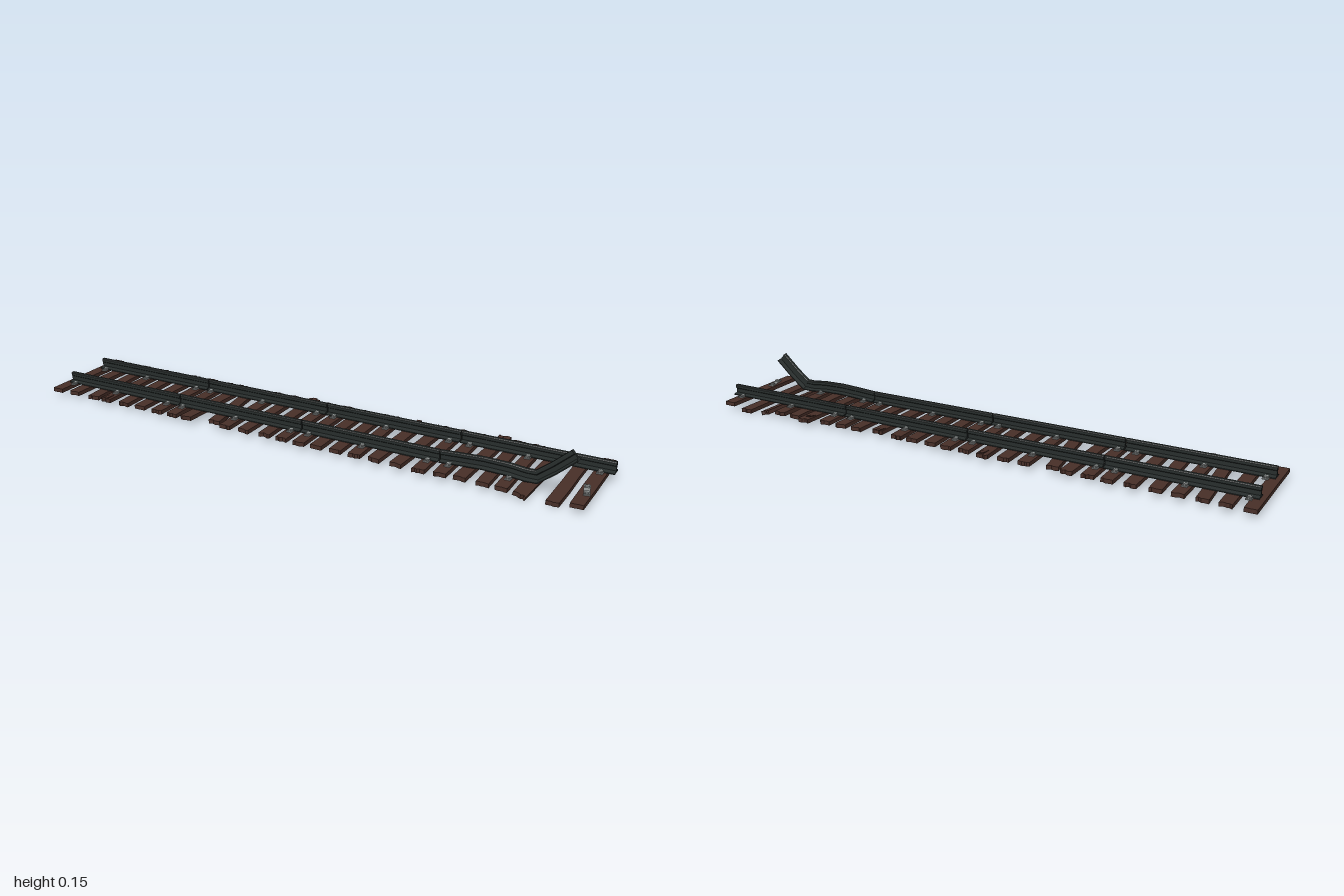
import * as THREE from 'three';

const steel = new THREE.MeshStandardMaterial({ color: 0x262c2b, flatShading: true, side: THREE.DoubleSide });
const wood = new THREE.MeshStandardMaterial({ color: 0x482f28, flatShading: true });
const iron = new THREE.MeshStandardMaterial({ color: 0x8c908f, flatShading: true });

let seed = 7;
const rnd = () => (seed = (seed * 16807) % 2147483647) / 2147483647;
const jitter = (a) => (rnd() * 2 - 1) * a;

// Half of the rail section as [z, height above foot], mirrored below
const HALF = [[0.02, 0], [0.02, 0.003], [0.004, 0.007], [0.0035, 0.021], [0.0072, 0.024], [0.0072, 0.033], [0.005, 0.036]];
const SECTION = [...HALF, ...HALF.slice().reverse().map(([z, h]) => [-z, h])];

// Sweep the rail section along a path of [x, y] foot points, mitred at bends
function railGeometry(path) {
  const pos = [], idx = [], n = SECTION.length;
  const dir = (a, b) => new THREE.Vector2(b[0] - a[0], b[1] - a[1]).normalize();
  path.forEach((p, i) => {
    const d0 = dir(path[Math.max(i - 1, 0)], path[Math.max(i, 1)]);
    const d1 = i < path.length - 1 ? dir(p, path[i + 1]) : d0;
    const t = d0.clone().add(d1).normalize();
    const k = 1 / t.dot(d1);
    for (const [z, h] of SECTION) pos.push(p[0] - t.y * h * k, p[1] + t.x * h * k, z);
  });
  for (let i = 0; i < path.length - 1; i++)
    for (let j = 0; j < n; j++) {
      const a = i * n + j, b = i * n + (j + 1) % n;
      idx.push(a, a + n, b, b, a + n, b + n);
    }
  // End caps: strips between mirrored points
  const last = (path.length - 1) * n;
  for (let j = 0; j < n / 2 - 1; j++) {
    const a = j, b = j + 1, c = n - 2 - j, d = n - 1 - j;
    idx.push(a, b, c, a, c, d, last + a, last + c, last + b, last + a, last + d, last + c);
  }
  const g = new THREE.BufferGeometry();
  g.setAttribute('position', new THREE.Float32BufferAttribute(pos, 3));
  g.setIndex(idx);
  g.computeVertexNormals();
  return g;
}

// Weathered plank with splintered ends, lying along z
function tieGeometry(width, z0, z1, thick, wear) {
  const shape = new THREE.Shape();
  const steps = 5, pts = [];
  for (let i = 0; i <= steps; i++) pts.push([-width / 2 + width * i / steps, z0 + rnd() * wear]);
  pts.push([width / 2 + jitter(0.0015), 0.05], [width / 2 + jitter(0.0015), -0.0]);
  pts.splice(-2, 2, [width / 2 + jitter(0.0015), -0.05], [width / 2 + jitter(0.0015), 0.06]);
  for (let i = steps; i >= 0; i--) pts.push([-width / 2 + width * i / steps, z1 - rnd() * wear]);
  pts.push([-width / 2 + jitter(0.0015), 0.04]);
  shape.setFromPoints(pts.map(([x, z]) => new THREE.Vector2(x, z)));
  return new THREE.ExtrudeGeometry(shape, { depth: thick, bevelEnabled: false })
    .rotateX(Math.PI / 2).translate(0, thick / 2, 0);
}

// Base plate with a clip and bolt on each side of the rail
function chair(x, z, y) {
  const g = new THREE.Group();
  g.name = 'railChair';
  const add = (geo, name, px, py, pz) => {
    const m = new THREE.Mesh(geo, iron);
    m.name = name;
    m.position.set(px, py, pz);
    g.add(m);
  };
  add(new THREE.BoxGeometry(0.02, 0.003, 0.074), 'basePlate', 0, 0, 0);
  for (const s of [-1, 1]) {
    add(new THREE.BoxGeometry(0.014, 0.005, 0.012), 'clip', 0, 0.004, s * 0.021);
    for (const dx of [-0.005, 0.005])
      add(new THREE.CylinderGeometry(0.0028, 0.0028, 0.005, 6), 'bolt', dx, 0.003, s * 0.032);
  }
  g.position.set(x, y, z);
  return g;
}

export function createModel() {
  const group = new THREE.Group();
  const BACK = -0.085, FRONT = 0.091, FOOT = 0.03;

  // Ties: [x, yaw, back end, front end]
  const ties = [
    [-0.979, 0], [-0.905, 0], [-0.825, 0.06], [-0.76, 0], [-0.685, 0.03], [-0.61, 0], [-0.535, 0], [-0.47, 0],
    [-0.405, -0.04], [-0.325, 0.13, -0.168, 0.168], [-0.25, 0], [-0.177, 0], [-0.1, 0.02, -0.188, 0.178],
    [-0.03, 0], [0.037, 0], [0.1, 0], [0.17, 0], [0.235, 0.02], [0.312, -0.03, -0.165, 0.18], [0.39, -0.04],
    [0.462, 0, -0.178, 0.188], [0.53, 0], [0.6, -0.04, -0.196, 0.176], [0.665, 0.02], [0.728, 0],
    [0.79, -0.03], [0.882, 0, -0.18, 0.176], [0.957, 0],
  ];
  ties.forEach(([x, yaw, z0 = -0.178, z1 = 0.183], i) => {
    const wear = i === 0 || i === 27 ? 0.002 : 0.008;
    const tie = new THREE.Mesh(tieGeometry(0.041, z0, z1, 0.014, wear), wood);
    tie.name = 'tie';
    tie.position.set(x, 0.0225, 0);
    tie.rotation.y = yaw;
    // Ties torn loose below the bent rail
    if (i === 25) { tie.position.y = 0.014; tie.rotation.z = -0.3; }
    if (i === 26) tie.position.y = 0.007;
    group.add(tie);
  });

  // Splinters lifting from the ties
  for (const [x, z, tilt] of [[0.6, -0.155, 0.2], [0.31, -0.15, 0.12], [-0.1, -0.16, 0.1], [-0.76, 0.16, -0.05]]) {
    const s = new THREE.Mesh(new THREE.BoxGeometry(0.016, 0.003, 0.04), wood);
    s.name = 'splinter';
    s.position.set(x, 0.031, z);
    s.rotation.x = tilt;
    group.add(s);
  }

  // Rails in four lengths with narrow joints; the last front length is bent up
  const joints = [-0.985, -0.49, 0.002, 0.497, 1];
  const bent = [[0.499, 0.03], [0.57, 0.034], [0.64, 0.037], [0.72, 0.035], [0.775, 0.029], [0.815, 0.03], [0.87, 0.073], [0.93, 0.127]];
  for (const [z, side] of [[BACK, 'back'], [FRONT, 'front']])
    for (let i = 0; i < 4; i++) {
      const isBent = side === 'front' && i === 3;
      const path = isBent ? bent : [[joints[i] + 0.002, FOOT], [joints[i + 1] - (i < 3 ? 0.002 : 0), FOOT]];
      const rail = new THREE.Mesh(railGeometry(path), steel);
      rail.name = isBent ? 'bentRail' : side + 'Rail';
      rail.position.z = z;
      group.add(rail);
    }

  // Chairs near the ends and middle of each rail length
  for (const x of [-0.955, -0.76, -0.535, -0.47, -0.25, -0.03, 0.037, 0.235, 0.462, 0.533, 0.728, 0.957]) {
    group.add(chair(x, BACK, 0.0305));
    const loose = x > 0.9;
    const c = chair(x, loose ? 0.08 : FRONT, 0.0305);
    if (loose) c.rotation.y = 0.25;
    group.add(c);
  }
  return group;
}
